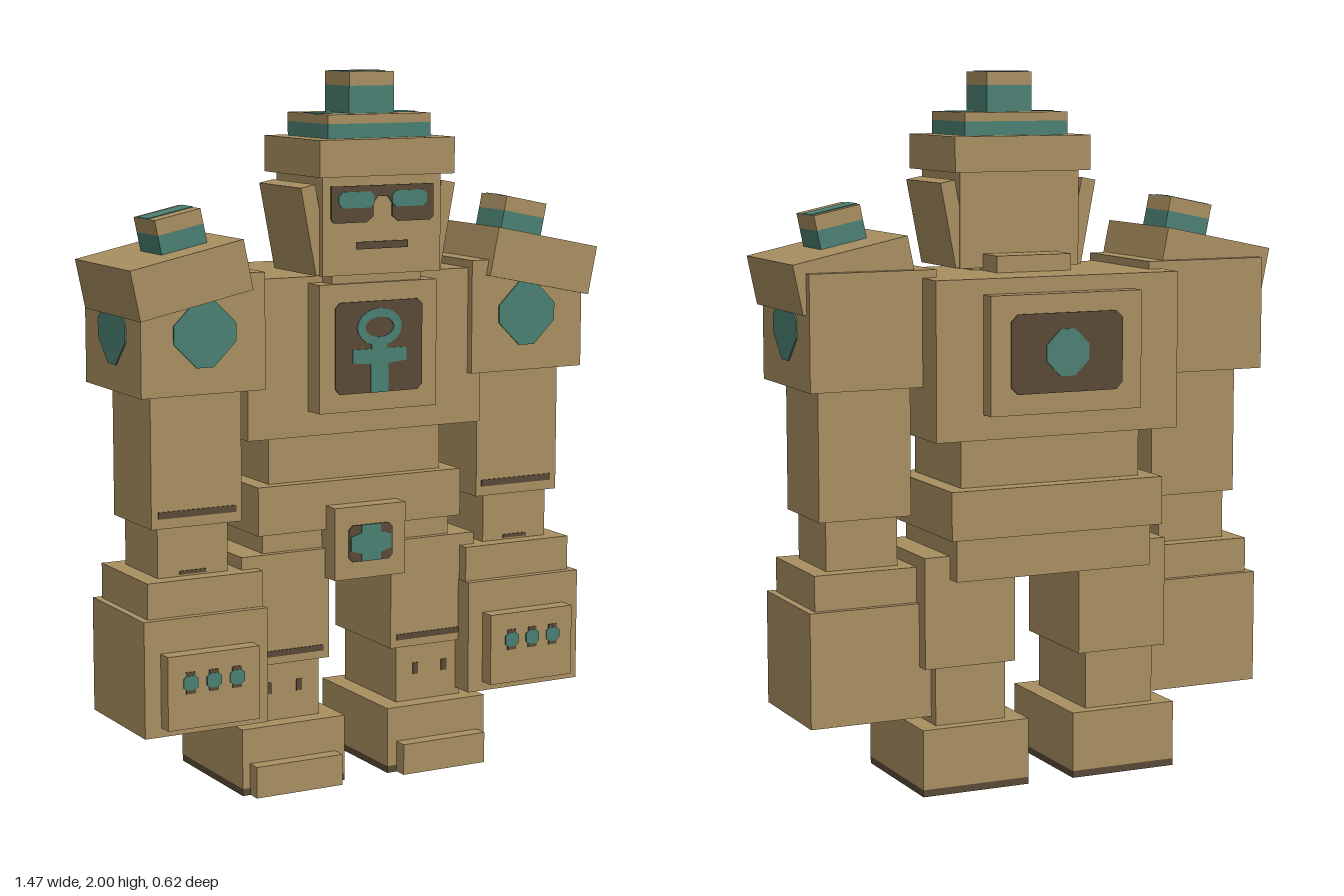
import * as THREE from 'three';

const mat = (name, color) => Object.assign(new THREE.MeshStandardMaterial({ color }), { name });

export function createModel() {
  const tan = mat('sandstone', 0xa98f61);
  const teal = mat('teal', 0x4b8072);
  const dark = mat('dark brown', 0x594936);
  const model = new THREE.Group();
  model.name = 'golem';

  // Box from its limits on each axis
  const box = (parent, name, material, [x0, x1], [y0, y1], [z0, z1]) => {
    const g = new THREE.BoxGeometry(Math.abs(x1 - x0), y1 - y0, z1 - z0);
    const m = new THREE.Mesh(g, material);
    m.name = name;
    m.position.set((x0 + x1) / 2, (y0 + y1) / 2, (z0 + z1) / 2);
    parent.add(m);
    return m;
  };
  // Thin plate cut from an outline; rotY turns it to face sideways or back
  const plate = (parent, name, material, shape, x, y, z, rotY = 0, depth = 0.004) => {
    const g = new THREE.ExtrudeGeometry(shape, { depth, bevelEnabled: false, curveSegments: 10 });
    const m = new THREE.Mesh(g, material);
    m.name = name;
    m.position.set(x, y, z);
    m.rotation.y = rotY;
    parent.add(m);
    return m;
  };
  const poly = pts => new THREE.Shape(pts.map(p => new THREE.Vector2(...p)));
  // Rectangle with clipped corners
  const clipped = (w, h, c) => poly([
    [-w + c, -h], [w - c, -h], [w, -h + c], [w, h - c],
    [w - c, h], [-w + c, h], [-w, h - c], [-w, -h + c]]);
  // Diamond with blunted tips
  const diamond = (w, h, t) => poly([
    [-t, -h], [t, -h], [w, -t], [w, t], [t, h], [-t, h], [-w, t], [-w, -t]]);

  // Block with a teal lower band and a teal stripe over the top
  const bandedBlock = (parent, name, w, y0, ySplit, y1, [z0, z1], stripe, x = 0) => {
    const xs = [x - w, x + w];
    box(parent, name + 'Band', teal, xs, [y0, ySplit], [z0, z1]);
    box(parent, name + 'Cap', tan, xs, [ySplit, y1], [z0, z1]);
    box(parent, name + 'Stripe', teal, xs, [y1 - 0.001, y1 + 0.002], stripe);
  };

  // Hat
  const head = new THREE.Group();
  head.name = 'head';
  model.add(head);
  box(head, 'hatBrim', tan, [-0.21, 0.21], [1.72, 1.82], [-0.025, 0.303]);
  bandedBlock(head, 'hatTier', 0.16, 1.82, 1.86, 1.885, [0.02, 0.255], [0.11, 0.18]);
  bandedBlock(head, 'hatKnob', 0.07, 1.885, 1.96, 1.998, [0.07, 0.21], [0.09, 0.16]);

  // Head, neck and face
  box(head, 'skull', tan, [-0.185, 0.185], [1.45, 1.72], [0, 0.27]);
  box(head, 'neck', tan, [-0.14, 0.14], [1.4, 1.455], [0.02, 0.24]);
  box(head, 'nape', tan, [-0.115, 0.115], [1.43, 1.49], [-0.095, 0.03]);
  plate(head, 'goggles', dark, poly([
    [-0.15, -0.05], [-0.05, -0.05], [-0.03, -0.035], [-0.03, 0], [-0.015, 0.02], [0.015, 0.02],
    [0.03, 0], [0.03, -0.035], [0.05, -0.05], [0.15, -0.05], [0.16, -0.04], [0.16, 0.05],
    [-0.16, 0.05], [-0.16, -0.04]]), 0, 1.643, 0.27);
  box(head, 'mouth', dark, [-0.08, 0.08], [1.52, 1.54], [0.268, 0.274]);

  // Torso
  const torso = new THREE.Group();
  torso.name = 'torso';
  model.add(torso);
  box(torso, 'chest', tan, [-0.37, 0.37], [1.0, 1.443], [-0.257, 0.185]);
  box(torso, 'chestPlate', tan, [-0.185, 0.185], [1.07, 1.425], [0.15, 0.252]);
  box(torso, 'backPlate', tan, [-0.23, 0.23], [1.07, 1.4], [-0.305, -0.2]);
  box(torso, 'waist', tan, [-0.275, 0.275], [0.85, 1.01], [-0.205, 0.12]);
  box(torso, 'belt', tan, [-0.325, 0.325], [0.725, 0.862], [-0.257, 0.155]);
  box(torso, 'hips', tan, [-0.3, 0.3], [0.605, 0.73], [-0.232, 0.13]);
  box(torso, 'buckle', tan, [-0.113, 0.113], [0.587, 0.793], [0.1, 0.208]);

  // Chest emblem: looped cross on a dark panel
  plate(torso, 'chestPanel', dark, clipped(0.137, 0.127, 0.015), 0, 1.247, 0.252);
  const loop = new THREE.Shape().absellipse(0, 0, 0.07, 0.052, 0, Math.PI * 2);
  loop.holes.push(new THREE.Path().absellipse(0, 0, 0.045, 0.028, 0, Math.PI * 2));
  plate(torso, 'emblemLoop', teal, loop, 0, 1.302, 0.255);
  plate(torso, 'emblemCross', teal, poly([
    [-0.028, -0.1], [0.028, -0.1], [0.028, -0.02], [0.085, -0.015], [0.085, 0.022],
    [0.025, 0.022], [0.025, 0.038], [-0.025, 0.038], [-0.025, 0.022], [-0.085, 0.022],
    [-0.085, -0.015], [-0.028, -0.02]]), 0, 1.22, 0.255);

  // Back emblem and buckle emblem
  plate(torso, 'backPanel', dark, clipped(0.17, 0.11, 0.02), 0, 1.237, -0.305, Math.PI);
  plate(torso, 'backGem', teal, diamond(0.065, 0.065, 0.022), 0, 1.237, -0.308, Math.PI);
  plate(torso, 'bucklePanel', dark, clipped(0.07, 0.052, 0.012), 0, 0.688, 0.208);
  plate(torso, 'buckleGem', teal, poly([
    [-0.03, -0.052], [0.03, -0.052], [0.03, -0.03], [0.065, -0.02], [0.065, 0.02], [0.03, 0.03],
    [0.03, 0.052], [-0.03, 0.052], [-0.03, 0.03], [-0.065, 0.02], [-0.065, -0.02], [-0.03, -0.03]]),
  0, 0.688, 0.211);

  for (const [s, side] of [[1, 'left'], [-1, 'right']]) {
    const mx = (a, b) => [s * a, s * b];

    // Slanted ear slab and goggle lens
    const ear = new THREE.Group();
    ear.name = side + 'Ear';
    ear.position.set(s * 0.197, 1.575, 0.13);
    ear.rotation.z = -s * 0.19;
    head.add(ear);
    box(ear, 'earSlab', tan, [-0.022, 0.022], [-0.122, 0.122], [-0.125, 0.123]);
    plate(head, side + 'Lens', teal, clipped(0.055, 0.022, 0.012), s * 0.083, 1.655, 0.273);

    // Arm
    const arm = new THREE.Group();
    arm.name = side + 'Arm';
    model.add(arm);
    box(arm, 'shoulder', tan, mx(0.328, 0.698), [1.143, 1.465], [-0.163, 0.208]);
    plate(arm, 'shoulderGem', teal, diamond(0.093, 0.092, 0.025), s * 0.51, 1.308, 0.208);
    plate(arm, 'shoulderSideGem', teal, diamond(0.09, 0.092, 0.025),
      s * 0.698, 1.308, 0.023, s * Math.PI / 2);
    box(arm, 'upperArm', tan, mx(0.378, 0.65), [0.775, 1.15], [-0.092, 0.158]);
    box(arm, 'upperArmStripe', dark, mx(0.395, 0.63), [0.803, 0.822], [0.155, 0.161]);
    box(arm, 'forearm', tan, mx(0.413, 0.625), [0.62, 0.78], [-0.075, 0.14]);
    box(arm, 'forearmMark', dark, mx(0.48, 0.56), [0.64, 0.65], [0.138, 0.143]);
    box(arm, 'cuff', tan, mx(0.328, 0.677), [0.53, 0.635], [-0.122, 0.186]);
    box(arm, 'fist', tan, mx(0.325, 0.698), [0.21, 0.535], [-0.14, 0.208]);
    box(arm, 'knuckles', tan, mx(0.373, 0.65), [0.237, 0.443], [0.2, 0.254]);
    for (const x of [0.443, 0.513, 0.583]) {
      box(arm, 'knuckleMark', dark, mx(x - 0.014, x + 0.014), [0.335, 0.395], [0.252, 0.257]);
      plate(arm, 'knuckleGem', teal, diamond(0.022, 0.02, 0.012), s * x, 0.365, 0.255);
    }

    // Tilted shoulder pad with banded knob
    const pad = new THREE.Group();
    pad.name = side + 'ShoulderPad';
    pad.position.set(s * 0.555, 1.455, 0);
    pad.rotation.z = -s * 0.205;
    arm.add(pad);
    box(pad, 'padSlab', tan, [-0.17, 0.17], [-0.07, 0.07], [-0.14, 0.23]);
    bandedBlock(pad, 'padKnob', 0.069, 0.07, 0.123, 0.165, [0, 0.137], [0.022, 0.09], -s * 0.036);

    // Leg
    const leg = new THREE.Group();
    leg.name = side + 'Leg';
    model.add(leg);
    box(leg, 'thigh', tan, mx(0.1, 0.375), [0.355, 0.67], [-0.182, 0.15]);
    box(leg, 'kneeStripe', dark, mx(0.12, 0.33), [0.377, 0.394], [0.147, 0.153]);
    box(leg, 'shin', tan, mx(0.127, 0.34), [0.18, 0.36], [-0.172, 0.135]);
    for (const x of [0.19, 0.285]) {
      box(leg, 'shinMark', dark, mx(x - 0.009, x + 0.009), [0.267, 0.3], [0.133, 0.138]);
    }
    box(leg, 'foot', tan, mx(0.07, 0.393), [0.02, 0.19], [-0.207, 0.186]);
    box(leg, 'sole', dark, mx(0.07, 0.393), [0, 0.02], [-0.207, 0.186]);
    box(leg, 'toe', tan, mx(0.1, 0.37), [0.001, 0.09], [0.18, 0.228]);
  }

  return model;
}
